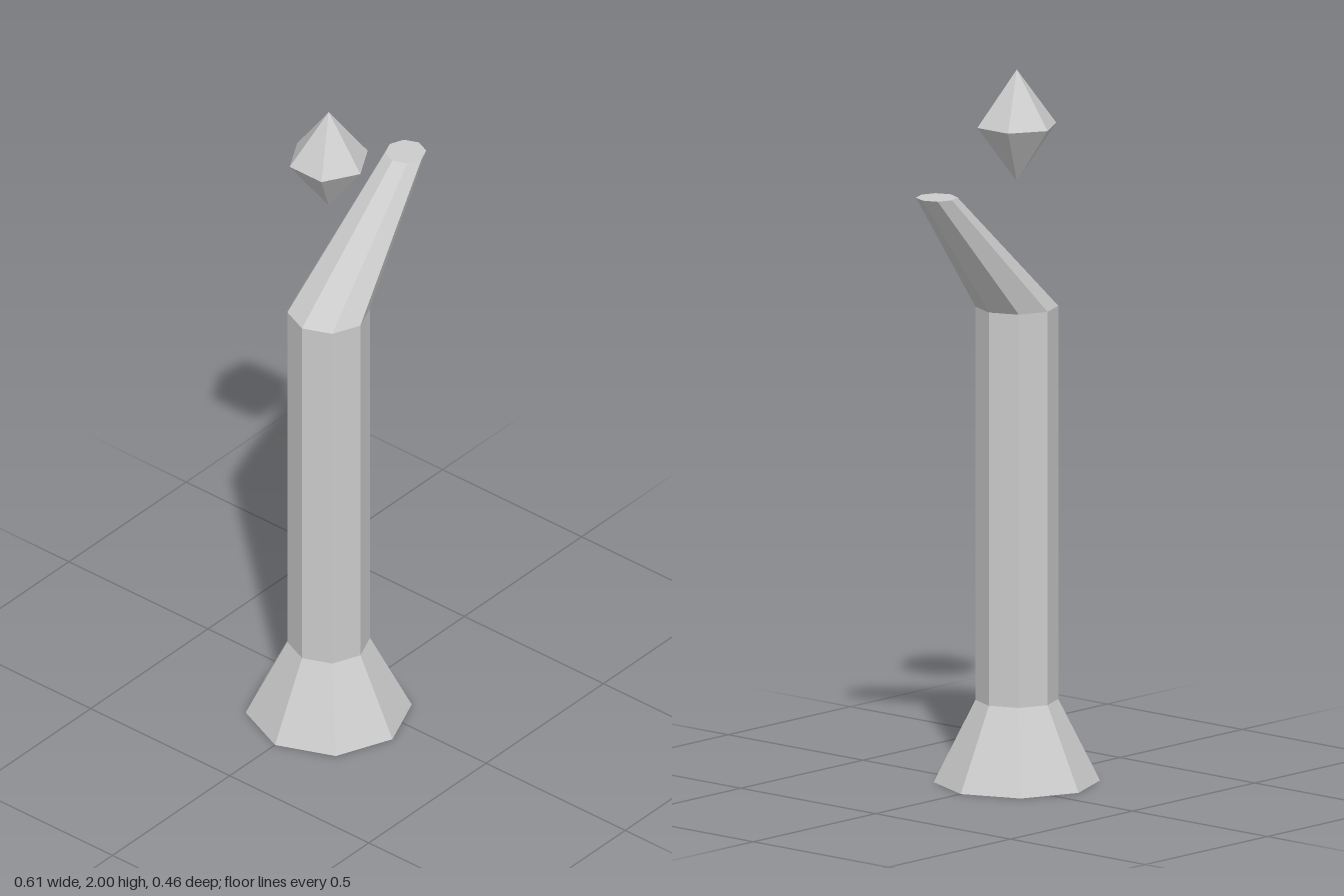
import * as THREE from 'three';

const AXIS_X = -0.078;

// Rings of the post from the ground up: height, radius, centre x
const RINGS = [
  { y: 0, r: 0.229, x: AXIS_X },
  { y: 0.23, r: 0.114, x: AXIS_X },
  { y: 1.335, r: 0.114, x: AXIS_X },
  { y: 1.692, r: 0.057, x: 0.25 },
];

// Eight-sided column whose rows are moved onto the rings
function postGeometry() {
  const rows = RINGS.length - 1;
  const geometry = new THREE.CylinderGeometry(1, 1, 1, 8, rows);
  const p = geometry.attributes.position;
  for (let i = 0; i < p.count; i++) {
    const ring = RINGS[Math.round((p.getY(i) + 0.5) * rows)];
    p.setXYZ(i, ring.x + p.getX(i) * ring.r, ring.y, p.getZ(i) * ring.r);
  }
  geometry.computeVertexNormals();
  return geometry;
}

export function createModel() {
  const group = new THREE.Group();
  group.name = 'crystalPost';

  const stone = new THREE.MeshStandardMaterial({ color: 0xcccccc, flatShading: true });
  stone.name = 'light grey';

  // Flared foot, straight shaft and leaning tapered arm
  const post = new THREE.Mesh(postGeometry(), stone);
  post.name = 'post';
  group.add(post);

  // Floating six-sided crystal: two cones base to base
  const crystal = new THREE.Group();
  crystal.name = 'crystal';
  crystal.position.set(AXIS_X, 1.843, 0);
  const radius = 0.114, height = 0.157;
  const upper = new THREE.Mesh(new THREE.ConeGeometry(radius, height, 6, 1, true), stone);
  upper.name = 'crystalTop';
  upper.position.y = height / 2;
  const lower = new THREE.Mesh(upper.geometry, stone);
  lower.name = 'crystalBottom';
  lower.position.y = -height / 2;
  lower.rotation.x = Math.PI;
  crystal.add(upper, lower);
  group.add(crystal);

  return group;
}
